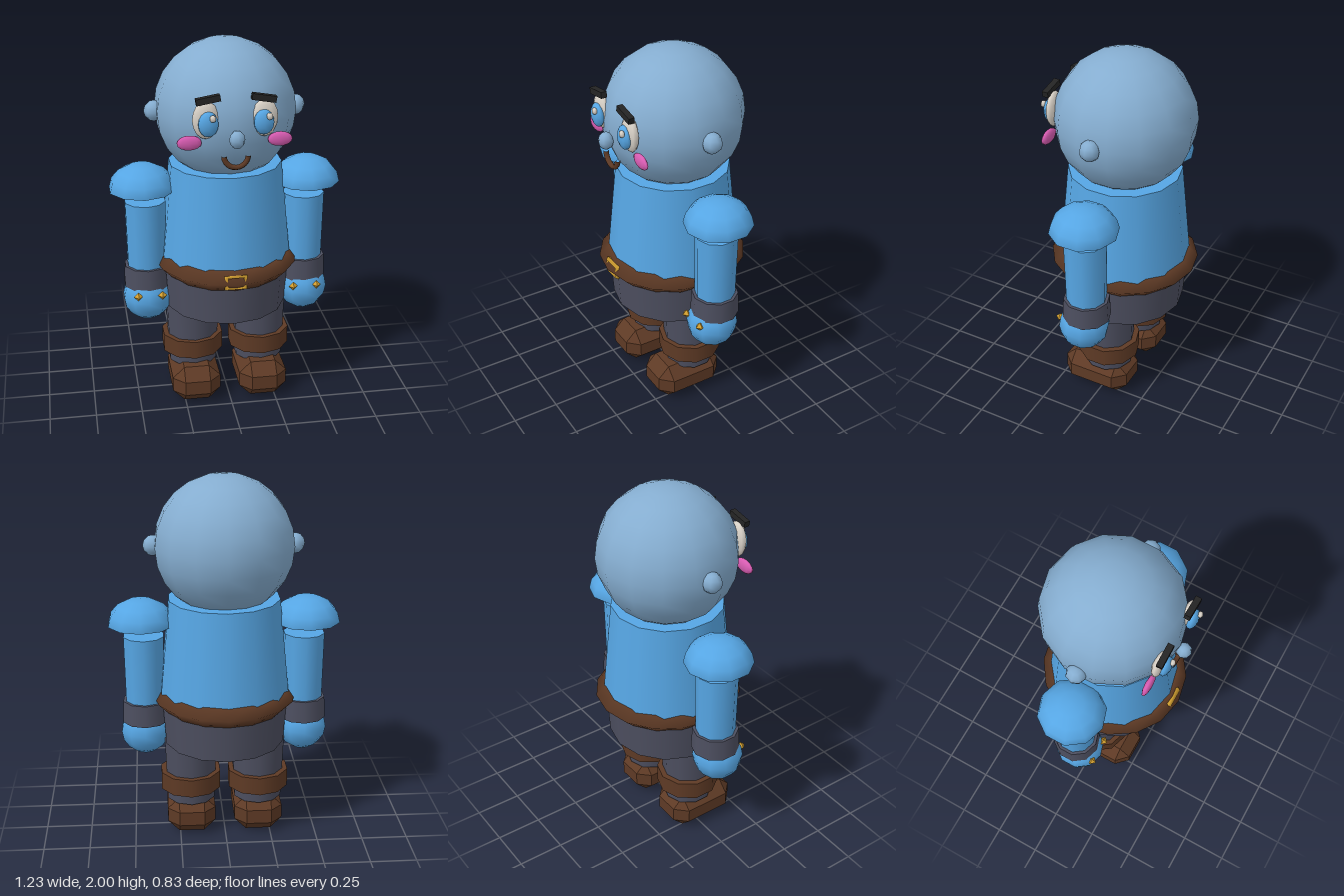
import * as THREE from 'three';
import { ConvexGeometry } from 'three/addons/geometries/ConvexGeometry.js';

function makeMaterial(name, color) {
  const m = new THREE.MeshStandardMaterial({ color });
  m.name = name;
  return m;
}

export function createModel() {
  const model = new THREE.Group();
  model.name = 'figure';

  const skin = makeMaterial('skin', 0x85add0);
  const blue = makeMaterial('blue cloth', 0x56a6e4);
  const grey = makeMaterial('grey cloth', 0x4d4f60);
  const brown = makeMaterial('leather', 0x5e3a25);
  const gold = makeMaterial('gold', 0xd4a030);
  const black = makeMaterial('brow black', 0x242424);
  const white = makeMaterial('eye white', 0xd9d2c8);
  const pink = makeMaterial('blush', 0xd85cb2);
  const domeBlue = makeMaterial('blue cloth', 0x56a6e4);
  domeBlue.side = THREE.DoubleSide;

  const add = (name, geometry, material, x, y, z) => {
    const mesh = new THREE.Mesh(geometry, material);
    mesh.name = name;
    mesh.position.set(x, y, z);
    model.add(mesh);
    return mesh;
  };
  // Vertical tapered tube between two heights
  const post = (name, material, rTop, rBottom, top, bottom, sides, x, z) =>
    add(name, new THREE.CylinderGeometry(rTop, rBottom, top - bottom, sides), material, x, (top + bottom) / 2, z);
  // Ellipsoid with a column of vertices facing front
  const ball = (name, material, rx, ry, rz, x, y, z, w = 10, h = 8) =>
    add(name, new THREE.SphereGeometry(1, w, h).rotateY(Math.PI / 2).scale(rx, ry, rz), material, x, y, z);

  // Chamfered block for the boots
  const chamferBox = (w, h, d, c) => {
    const half = [w / 2, h / 2, d / 2];
    const points = [];
    for (let axis = 0; axis < 3; axis++)
      for (const sx of [-1, 1]) for (const sy of [-1, 1]) for (const sz of [-1, 1]) {
        const p = half.map((v, i) => (i === axis ? v : v - c));
        points.push(new THREE.Vector3(p[0] * sx, p[1] * sy, p[2] * sz));
      }
    return new ConvexGeometry(points);
  };

  // Head and trunk
  ball('head', skin, 0.37, 0.37, 0.37, 0, 1.63, -0.015, 14, 12);
  post('torso', blue, 0.30, 0.355, 1.345, 0.79, 14, 0, -0.013);
  post('hips', grey, 0.345, 0.327, 0.80, 0.535, 14, 0, -0.01);
  const beltGeometry = new THREE.TorusGeometry(0.345, 0.058, 4, 16).rotateX(Math.PI / 2).scale(0.96, 1, 1);
  add('belt', beltGeometry, brown, 0, 0.797, -0.01);
  const buckleGeometry = new THREE.TorusGeometry(0.068, 0.016, 4, 4).rotateZ(Math.PI / 4).scale(1.0, 0.67, 1);
  add('buckle', buckleGeometry, gold, 0, 0.797, 0.358);

  // Nose and smile
  ball('nose', skin, 0.04, 0.046, 0.04, 0, 1.58, 0.375, 8, 6);
  add('mouth', new THREE.TorusGeometry(0.061, 0.014, 6, 12, Math.PI).rotateZ(Math.PI), brown, 0, 1.487, 0.345);

  for (const s of [-1, 1]) {
    const side = s > 0 ? 'left' : 'right';

    // Face
    ball(side + 'Ear', skin, 0.053, 0.055, 0.053, s * 0.37, 1.63, -0.012, 8, 6);
    ball(side + 'EyeWhite', white, 0.067, 0.097, 0.03, s * 0.147, 1.67, 0.317, 12, 8);
    ball(side + 'Iris', blue, 0.052, 0.064, 0.03, s * 0.138, 1.655, 0.345);
    ball(side + 'EyeGlint', white, 0.018, 0.018, 0.015, s * 0.14 + 0.021, 1.69, 0.371, 6, 5);
    ball(side + 'Cheek', pink, 0.065, 0.038, 0.019, s * 0.228, 1.552, 0.306);
    const brow = add(side + 'Brow', new THREE.BoxGeometry(0.122, 0.032, 0.032), black, s * 0.138, 1.777, 0.336);
    brow.rotation.z = -s * 0.17;

    // Arm
    const dome = new THREE.SphereGeometry(0.18, 10, 4, 0, Math.PI * 2, 0, Math.PI / 2)
      .rotateY(Math.PI / 2).scale(1, 0.78, 1);
    add(side + 'ShoulderGuard', dome, domeBlue, s * 0.442, 1.205, -0.013);
    post(side + 'Arm', blue, 0.112, 0.105, 1.14, 0.7, 10, s * 0.43, -0.011);
    post(side + 'Cuff', grey, 0.122, 0.128, 0.775, 0.655, 10, s * 0.43, -0.011);
    ball(side + 'Hand', blue, 0.135, 0.135, 0.135, s * 0.432, 0.592, 0.005);
    for (const dx of [-0.065, 0.065])
      add(side + 'GloveStud', new THREE.OctahedronGeometry(0.025), gold, s * 0.424 + dx, 0.632, 0.117);

    // Leg
    post(side + 'Leg', grey, 0.15, 0.135, 0.56, 0.185, 10, s * 0.186, -0.008);
    post(side + 'BootCuff', brown, 0.17, 0.17, 0.35, 0.25, 10, s * 0.187, -0.01);
    add(side + 'Boot', chamferBox(0.264, 0.205, 0.385, 0.063), brown, s * 0.186, 0.1025, 0.038);
  }
  return model;
}
